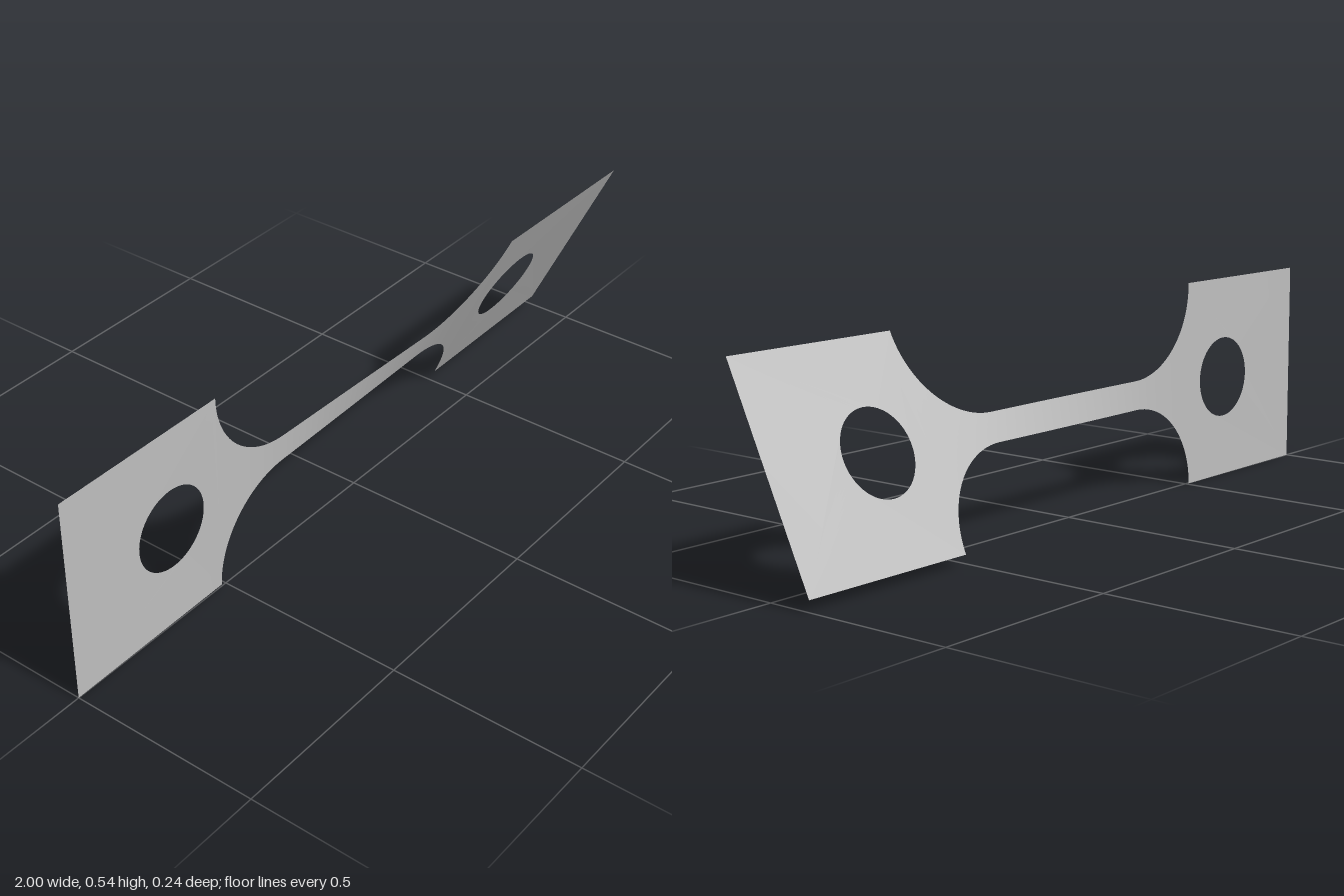
import * as THREE from 'three';

const HALF = 0.271;          // half height of the tabs
const NECK = 0.0375;         // half height of the neck
const TAB_X = 0.51;          // inner edge of each tab
const R = HALF - NECK;       // fillet radius
const TWIST = THREE.MathUtils.degToRad(25.7);

// Half height of the strip at x: tab, quarter-circle fillet, neck
function halfHeight(x) {
  const d = Math.abs(x) - (TAB_X - R);
  if (d <= 0) return NECK;
  if (d >= R) return HALF;
  return HALF - Math.sqrt(R * R - d * d);
}

// Twist angle along x: narrow sections turn more than wide ones
const STEPS = 1000;
const turn = [0];
for (let i = 0; i < STEPS; i++) {
  const x = -1 + (2 * (i + 0.5)) / STEPS;
  turn.push(turn[i] + Math.pow(halfHeight(x), -1.5));
}
function angleAt(x) {
  const t = THREE.MathUtils.clamp((x + 1) / 2, 0, 1) * STEPS;
  const i = Math.min(Math.floor(t), STEPS - 1);
  return (TWIST * THREE.MathUtils.lerp(turn[i], turn[i + 1], t - i)) / turn[STEPS];
}

// Turns each flat vertex around the long axis and lifts it above the ground
function twist(geometry) {
  const p = geometry.attributes.position;
  for (let i = 0; i < p.count; i++) {
    const x = p.getX(i), y = p.getY(i), a = angleAt(x);
    p.setXYZ(i, x, HALF + y * Math.cos(a), y * Math.sin(a));
  }
  geometry.computeVertexNormals();
  return geometry;
}

export function createModel() {
  const group = new THREE.Group();
  group.name = 'twistedSpecimen';
  const metal = new THREE.MeshStandardMaterial({ color: 0xbfbfbf, side: THREE.DoubleSide });
  metal.name = 'grey metal';

  function add(name, geometry) {
    const mesh = new THREE.Mesh(twist(geometry), metal);
    mesh.name = name;
    group.add(mesh);
  }

  // Neck with its four fillets
  const neck = new THREE.PlaneGeometry(2 * TAB_X, 2, 120, 6);
  const p = neck.attributes.position;
  for (let i = 0; i < p.count; i++) {
    // columns crowd towards the tabs, where the fillets are steep
    const x = TAB_X * Math.sin((p.getX(i) / TAB_X) * Math.PI / 2);
    p.setXY(i, x, p.getY(i) * halfHeight(x));
  }
  add('neck', neck);

  // Square tabs with a round hole
  for (const [name, side] of [['rightTab', -1], ['leftTab', 1]]) {
    const x0 = side < 0 ? -1 : TAB_X;
    const x1 = side < 0 ? -TAB_X : 1;
    const shape = new THREE.Shape();
    shape.moveTo(x0, -HALF);
    shape.lineTo(x1, -HALF);
    shape.lineTo(x1, HALF);
    shape.lineTo(x0, HALF);
    shape.closePath();
    const hole = new THREE.Path();
    hole.absarc(side * 0.67, 0, 0.108, 0, Math.PI * 2, true);
    shape.holes.push(hole);
    add(name, new THREE.ShapeGeometry(shape, 32));
  }
  return group;
}
